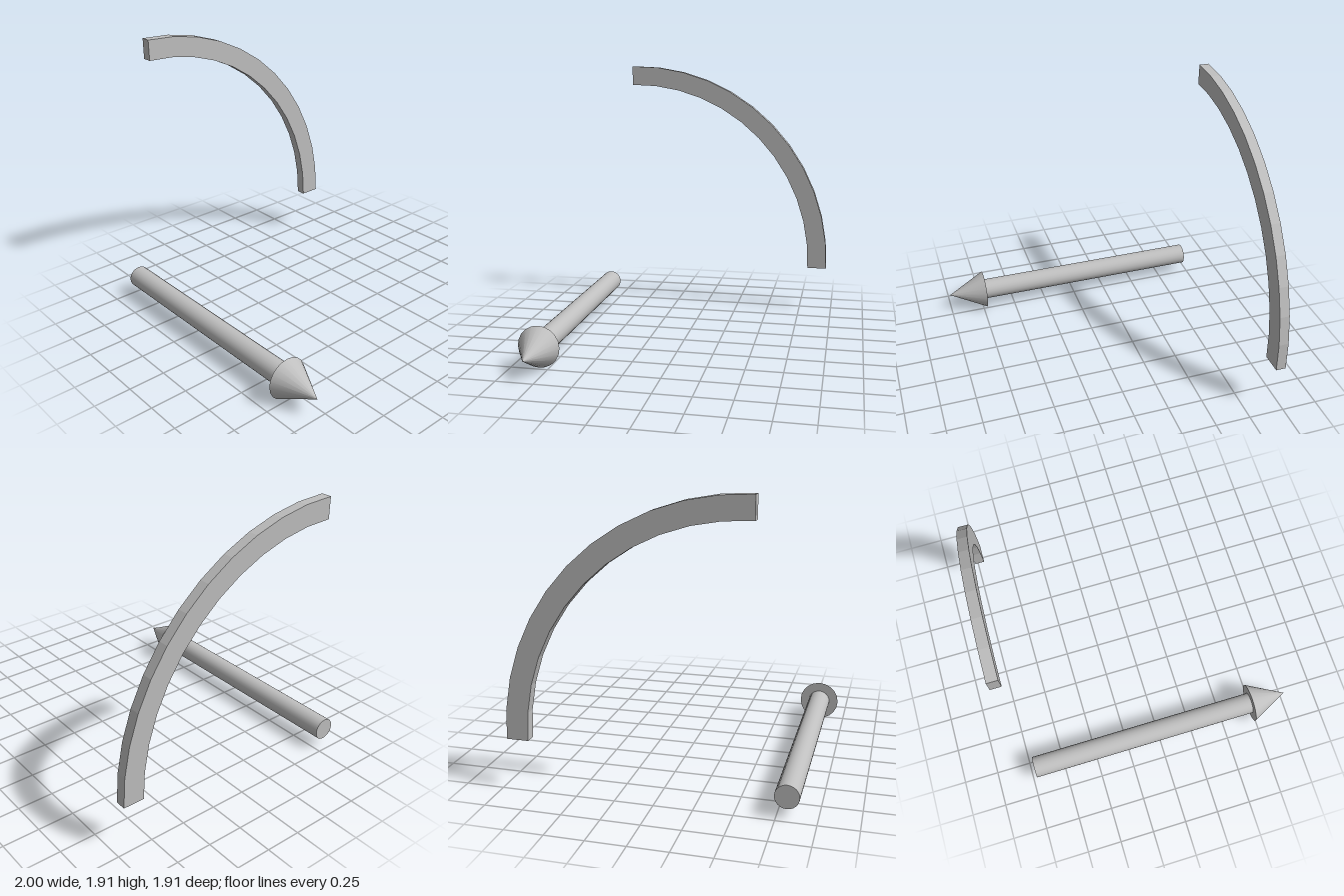
import * as THREE from 'three';

export function createModel() {
  const model = new THREE.Group();
  const grey = new THREE.MeshStandardMaterial({ color: 0xbfbfbf });
  grey.name = 'grey';

  const add = (name, geometry, x, y, z) => {
    const mesh = new THREE.Mesh(geometry, grey);
    mesh.name = name;
    mesh.position.set(x, y, z);
    model.add(mesh);
  };

  // Quarter arc: a curved square bar, drawn as (back, up) and extruded along x
  const steps = 12;
  const edge = (up, back) => Array.from({ length: steps + 1 }, (_, i) => {
    const a = (i / steps) * Math.PI / 2;
    const bulge = 0.017 * Math.sin(2 * a);
    return new THREE.Vector2(Math.sin(a) * (back + bulge), Math.cos(a) * (up + bulge));
  });
  const outline = new THREE.Shape([...edge(1.575, 1.56), ...edge(1.43, 1.415).reverse()]);
  const arc = new THREE.ExtrudeGeometry(outline, { depth: 0.07, bevelEnabled: false });
  arc.rotateY(Math.PI / 2);
  add('curvedBar', arc, -1, 0.34, 0.605);

  // Arrow lying along x, pointing to +x
  const axisY = 0.143, axisZ = 0.815;
  const shaft = new THREE.CylinderGeometry(0.077, 0.077, 1.69, 24);
  shaft.rotateZ(-Math.PI / 2);
  add('arrowShaft', shaft, -0.12, axisY, axisZ);

  const head = new THREE.ConeGeometry(0.142, 0.275, 20);
  head.rotateZ(-Math.PI / 2);
  add('arrowHead', head, 0.8625, axisY, axisZ);

  return model;
}
